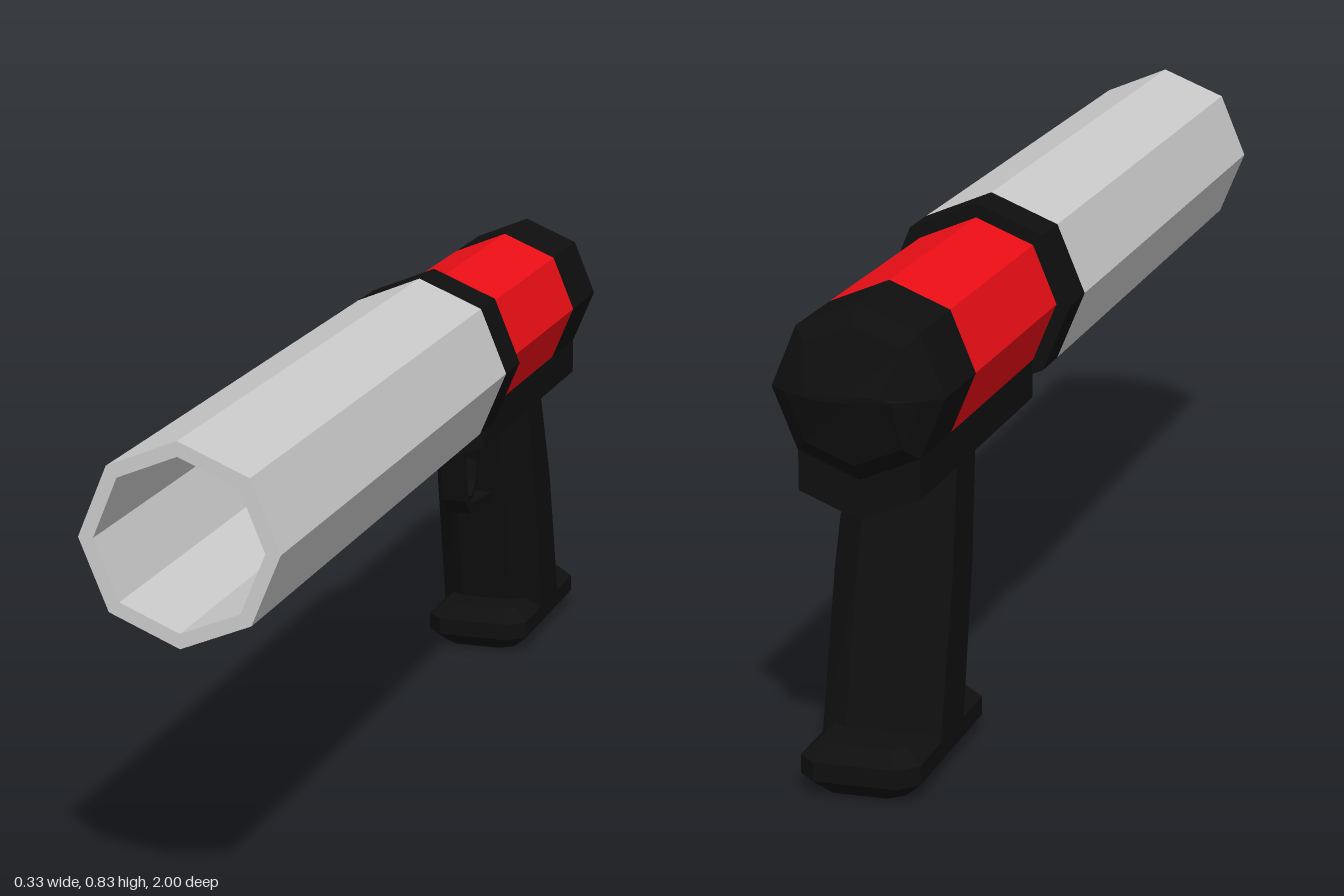
import * as THREE from 'three';

const CY = 0.665; // height of the barrel axis
const paint = (color) => new THREE.MeshStandardMaterial({ color, flatShading: true });

// Skin a list of equal-length rings (counter-clockwise seen from the last one) and cap both ends
function loft(rings) {
  const n = rings[0].length, pos = rings.flat(2), idx = [];
  for (let r = 0; r < rings.length - 1; r++)
    for (let i = 0; i < n; i++) {
      const a = r * n + i, b = r * n + (i + 1) % n;
      idx.push(a, b, b + n, a, b + n, a + n);
    }
  const last = (rings.length - 1) * n;
  for (let i = 1; i < n - 1; i++) idx.push(0, i + 1, i, last, last + i, last + i + 1);
  const g = new THREE.BufferGeometry();
  g.setAttribute('position', new THREE.Float32BufferAttribute(pos, 3));
  g.setIndex(idx);
  g.computeVertexNormals();
  return g;
}

// Eight-sided turned part along z from [radius, z] points
function turned(points) {
  const g = new THREE.LatheGeometry(points.map(([r, z]) => new THREE.Vector2(r, z)), 8);
  return g.rotateX(Math.PI / 2).translate(0, CY, 0);
}

// Side profile of [z, y] points, extruded across x
function plate(points, width) {
  const shape = new THREE.Shape(points.map(([z, y]) => new THREE.Vector2(z, y)));
  const g = new THREE.ExtrudeGeometry(shape, { depth: width, bevelEnabled: false });
  return g.translate(0, 0, -width / 2).rotateY(-Math.PI / 2);
}

// Horizontal rectangle with cut corners
function cutRect(y, hx, front, back, cx, cz) {
  const e = hx - cx;
  return [[-e, y, front], [e, y, front], [hx, y, front - cz], [hx, y, back + cz],
    [e, y, back], [-e, y, back], [-hx, y, back + cz], [-hx, y, front - cz]];
}

export function createModel() {
  const model = new THREE.Group();
  const grey = paint(0xcccccc), black = paint(0x0f0f0f), red = paint(0xee0e16);
  const add = (name, geometry, material) => {
    const mesh = new THREE.Mesh(geometry, material);
    mesh.name = name;
    model.add(mesh);
  };

  // Open barrel with a dark plate at the bottom of the bore
  add('barrel', turned([[0.142, -0.23], [0.167, -0.23], [0.167, 1], [0.142, 1], [0.142, -0.23]]), grey);
  add('collar', turned([[0, -0.32], [0.167, -0.32], [0.167, -0.23], [0, -0.23]]), black);
  add('receiver', turned([[0, -0.79], [0.142, -0.79], [0.142, -0.32], [0, -0.32]]), red);

  // Rear cap, rounding off to a short horizontal ridge
  const capRing = (rx, ry, z) => Array.from({ length: 8 }, (_, i) => {
    const a = i * Math.PI / 4;
    return [-rx * Math.cos(a), CY + ry * Math.sin(a), z];
  });
  add('rearCap', loft([capRing(0.142, 0.142, -0.79), capRing(0.142, 0.142, -0.95),
    capRing(0.112, 0.112, -0.975), capRing(0.07, 0.006, -1)]), black);

  // Rail under the receiver with a shallow V-shaped underside
  const rail = new THREE.Shape([[-0.1, 0.565], [-0.1, 0.498], [0, 0.457], [0.1, 0.498], [0.1, 0.565], [0, 0.6]]
    .map(([x, y]) => new THREE.Vector2(x, y)));
  add('underRail', new THREE.ExtrudeGeometry(rail, { depth: 0.63, bevelEnabled: false })
    .translate(0, 0, -0.95), black);

  // Raked grip with cut corners
  add('grip', loft([
    cutRect(0.06, 0.1, -0.695, -0.89, 0.05, 0.035),
    cutRect(0.32, 0.1, -0.635, -0.825, 0.05, 0.04),
    cutRect(0.5, 0.093, -0.59, -0.78, 0.05, 0.045),
  ]), black);

  // Foot of the grip
  add('gripBase', loft([
    cutRect(0.003, 0.07, -0.625, -0.965, 0.025, 0.02),
    cutRect(0.03, 0.1, -0.595, -0.992, 0.03, 0.03),
    cutRect(0.062, 0.1, -0.595, -0.992, 0.03, 0.03),
    cutRect(0.085, 0.075, -0.62, -0.967, 0.025, 0.02),
  ]), black);

  // Trigger guard and trigger
  add('triggerGuard', plate([[-0.43, 0.48], [-0.453, 0.35], [-0.488, 0.316], [-0.66, 0.298],
    [-0.66, 0.318], [-0.497, 0.335], [-0.472, 0.36], [-0.45, 0.48]], 0.046), black);
  add('trigger', plate([[-0.525, 0.49], [-0.54, 0.41], [-0.53, 0.37], [-0.505, 0.346],
    [-0.512, 0.338], [-0.543, 0.36], [-0.56, 0.41], [-0.56, 0.49]], 0.04), black);

  return model;
}
